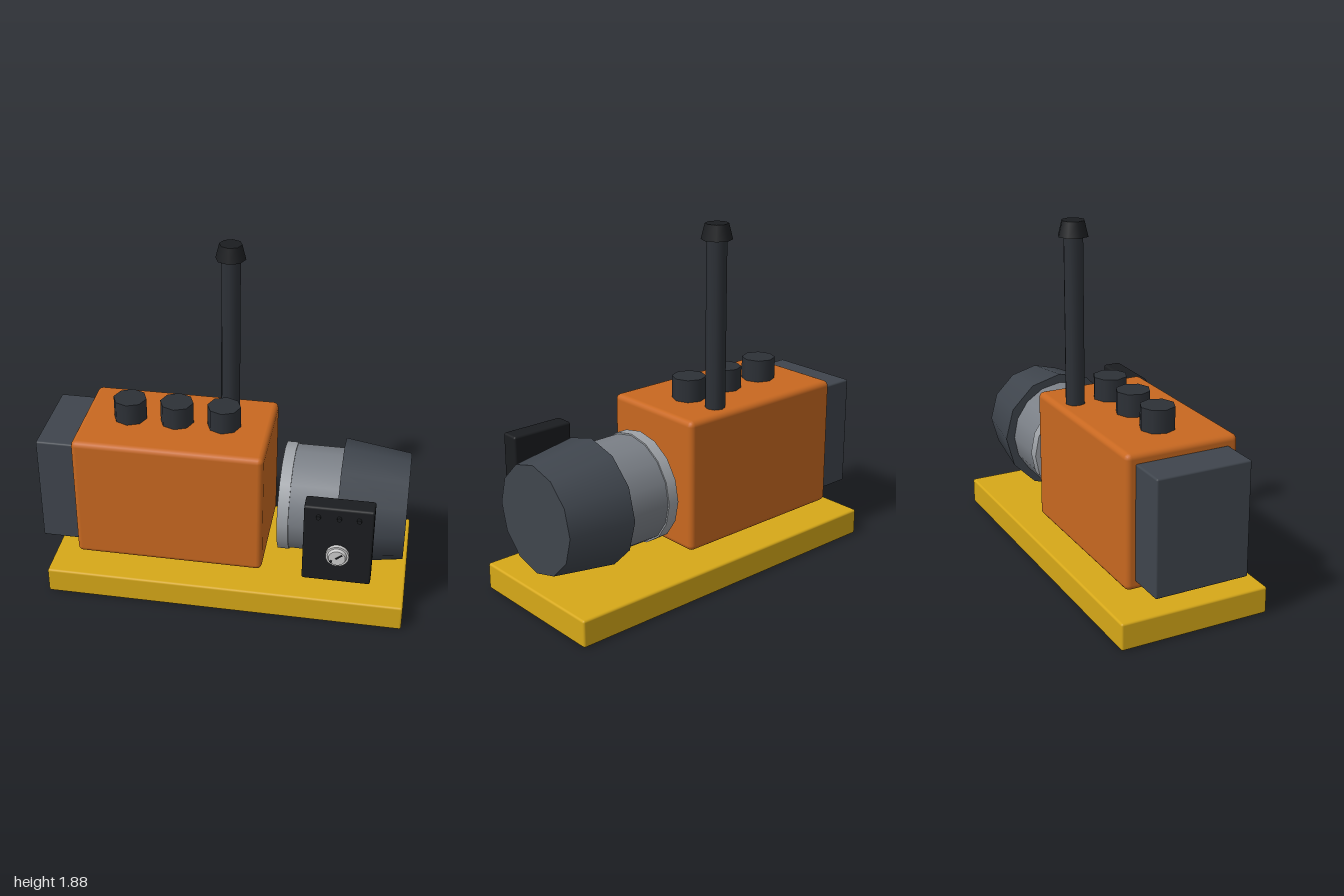
import * as THREE from 'three';
import { RoundedBoxGeometry } from 'three/addons/geometries/RoundedBoxGeometry.js';

const mat = (color) => new THREE.MeshStandardMaterial({ color });
const yellow = mat(0xd6a818), orange = mat(0xc86820), slate = mat(0x3f454d);
const charcoal = mat(0x2d3137), black = mat(0x1b1d20), steel = mat(0x7b8087);
const silver = mat(0x9fa3a8), light = mat(0xcccccc);

export function createModel() {
  const group = new THREE.Group();

  const add = (name, geometry, material, x, y, z, parent = group) => {
    const mesh = new THREE.Mesh(geometry, material);
    mesh.name = name;
    mesh.position.set(x, y, z);
    parent.add(mesh);
    return mesh;
  };

  // Box with softened edges, given by its limits on each axis
  const block = (name, material, [x0, x1], [y0, y1], [z0, z1], bevel) =>
    add(name, new RoundedBoxGeometry(x1 - x0, y1 - y0, z1 - z0, 2, bevel), material,
      (x0 + x1) / 2, (y0 + y1) / 2, (z0 + z1) / 2);

  // Base plate, main housing and end box
  block('basePlate', yellow, [-0.945, 0.995], [0, 0.145], [-0.465, 0.35], 0.012);
  block('housing', orange, [-0.795, 0.225], [0.215, 0.925], [-0.363, 0.248], 0.03);
  block('endBox', slate, [-1, -0.79], [0.265, 0.875], [-0.315, 0.195], 0.01);

  // Row of octagonal knobs on the housing
  for (const x of [-0.54, -0.285, -0.03]) {
    add('topKnob', new THREE.CylinderGeometry(0.09, 0.09, 0.13, 8), charcoal, x, 0.98, -0.06);
  }

  // Antenna with a tapered tip
  add('antennaMast', new THREE.CylinderGeometry(0.052, 0.052, 0.9, 8), charcoal, -0.03, 1.36, -0.262);
  add('antennaTip', new THREE.CylinderGeometry(0.06, 0.08, 0.08, 8), black, -0.03, 1.84, -0.262);

  // Lens lies along x; local +y becomes +x
  const lens = new THREE.Group();
  lens.name = 'lens';
  lens.position.set(0, 0.52, -0.056);
  lens.rotation.z = -Math.PI / 2;
  group.add(lens);
  const lensPart = (name, material, x0, x1, r0, r1, sides) =>
    add(name, new THREE.CylinderGeometry(r1, r0, x1 - x0, sides), material, 0, (x0 + x1) / 2, 0, lens);
  lensPart('lensRing', silver, 0.3, 0.36, 0.295, 0.295, 16);
  lensPart('lensBarrel', steel, 0.31, 0.63, 0.287, 0.287, 16);
  lensPart('lensHood', slate, 0.615, 0.97, 0.337, 0.287, 12);

  // Control panel beside the lens
  block('controlPanel', black, [0.46, 0.815], [0.343, 0.8], [0.325, 0.427], 0.012);
  const disc = (name, material, r0, r1, z0, z1, x, y, sides) => {
    const geometry = new THREE.CylinderGeometry(r1, r0, z1 - z0, sides).rotateX(Math.PI / 2);
    add(name, geometry, material, x, y, (z0 + z1) / 2);
  };
  disc('dialBase', light, 0.06, 0.06, 0.42, 0.447, 0.64, 0.52, 20);
  disc('dialCap', light, 0.05, 0.043, 0.447, 0.462, 0.64, 0.52, 20);
  const pointer = add('dialPointer', new THREE.BoxGeometry(0.04, 0.008, 0.006), black, 0.65, 0.53, 0.462);
  pointer.rotation.z = 0.7;
  disc('dialMark', black, 0.008, 0.008, 0.44, 0.464, 0.61, 0.498, 8);

  // Row of small buttons above the dial
  for (const x of [0.535, 0.64, 0.74]) {
    disc('panelButton', black, 0.012, 0.012, 0.42, 0.443, x, 0.745, 8);
  }

  return group;
}
